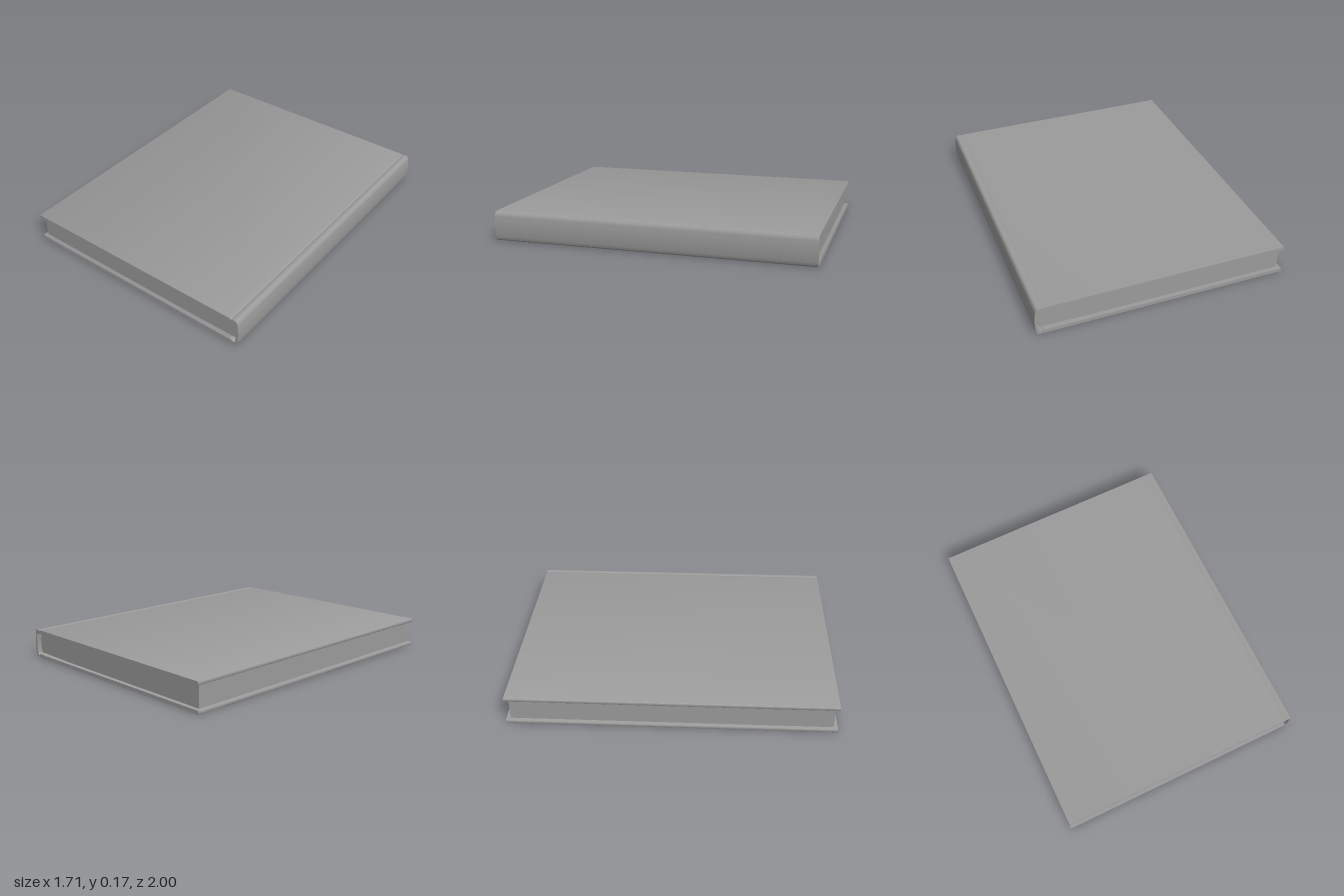
import * as THREE from 'three';
import { toCreasedNormals } from 'three/addons/utils/BufferGeometryUtils.js';

const MID = 0.0825; // half the thickness of the closed book
const material = new THREE.MeshStandardMaterial({ color: 0x9b9b9b });

// Extrude a cross-section (x, y) along z, centred
function extrude(name, shape, length) {
  const geo = new THREE.ExtrudeGeometry(shape, { depth: length, bevelEnabled: false, curveSegments: 10 });
  geo.translate(0, MID, -length / 2);
  const mesh = new THREE.Mesh(toCreasedNormals(geo, 0.7), material);
  mesh.name = name;
  return mesh;
}

// Case: two boards joined by a gently rounded spine, with a shallow hinge groove on each
function coverShape() {
  const s = new THREE.Shape();
  // Outside, bottom to top
  s.moveTo(-0.692, -0.0825);
  s.lineTo(0.635, -0.0825);
  s.bezierCurveTo(0.643, -0.0825, 0.644, -0.079, 0.65, -0.079);
  s.bezierCurveTo(0.656, -0.079, 0.657, -0.0825, 0.665, -0.0825);
  s.quadraticCurveTo(0.684, -0.0825, 0.688, -0.07);
  s.quadraticCurveTo(0.701, 0, 0.688, 0.07);
  s.quadraticCurveTo(0.684, 0.0825, 0.665, 0.0825);
  s.bezierCurveTo(0.657, 0.0825, 0.656, 0.079, 0.65, 0.079);
  s.bezierCurveTo(0.644, 0.079, 0.643, 0.0825, 0.635, 0.0825);
  s.lineTo(-0.692, 0.0825);
  // Upper fore edge, slightly rounded
  s.quadraticCurveTo(-0.696, 0.0825, -0.696, 0.078);
  s.lineTo(-0.696, 0.066);
  s.quadraticCurveTo(-0.696, 0.062, -0.692, 0.062);
  // Inside, top to bottom
  s.lineTo(0.632, 0.062);
  s.quadraticCurveTo(0.648, 0.055, 0.66, 0.067);
  s.quadraticCurveTo(0.671, 0.071, 0.674, 0.064);
  s.quadraticCurveTo(0.686, 0, 0.674, -0.064);
  s.quadraticCurveTo(0.671, -0.071, 0.66, -0.067);
  s.quadraticCurveTo(0.648, -0.055, 0.632, -0.062);
  s.lineTo(-0.692, -0.062);
  // Lower fore edge
  s.quadraticCurveTo(-0.696, -0.062, -0.696, -0.066);
  s.lineTo(-0.696, -0.078);
  s.quadraticCurveTo(-0.696, -0.0825, -0.692, -0.0825);
  return s;
}

// Page block: square fore edge, rounded back, narrowed at the hinge
function pageShape() {
  const s = new THREE.Shape();
  s.moveTo(-0.677, -0.0615);
  s.lineTo(0.4, -0.0615);
  s.lineTo(0.63, -0.057);
  s.lineTo(0.666, -0.057);
  s.quadraticCurveTo(0.682, 0, 0.666, 0.057);
  s.lineTo(0.63, 0.057);
  s.lineTo(0.4, 0.0615);
  s.lineTo(-0.677, 0.0615);
  s.closePath();
  return s;
}

export function createModel() {
  const book = new THREE.Group();
  book.name = 'book';
  book.add(extrude('cover', coverShape(), 1.765));
  book.add(extrude('pages', pageShape(), 1.72));
  book.rotation.y = -0.198; // lies at a slight angle

  const model = new THREE.Group();
  model.add(book);
  return model;
}
